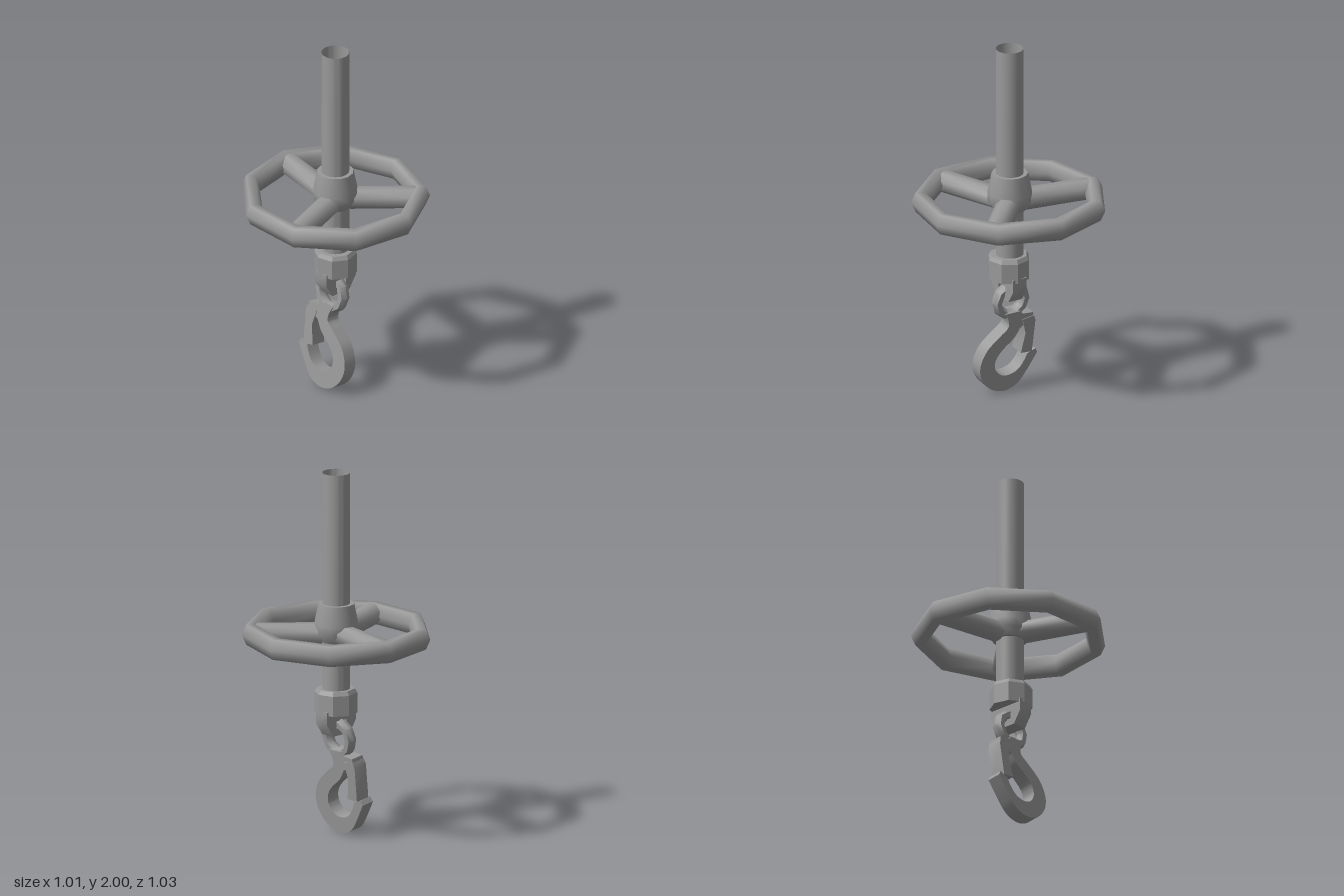
import * as THREE from 'three';
import { toCreasedNormals } from 'three/addons/utils/BufferGeometryUtils.js';

const GREY = 0x999999;
const material = new THREE.MeshStandardMaterial({ color: GREY });
const openMaterial = new THREE.MeshStandardMaterial({ color: GREY, side: THREE.DoubleSide });
const AXIS = { x: 0.01, z: -0.015 };

const v2 = (pts) => pts.map(([x, y]) => new THREE.Vector2(x, y));

function add(parent, name, geometry, crease = 0.6, mat = material) {
  const mesh = new THREE.Mesh(toCreasedNormals(geometry, crease), mat);
  mesh.name = name;
  parent.add(mesh);
  return mesh;
}

// Plate of the given thickness, centred on its own plane
function plate(shape, thickness) {
  return new THREE.ExtrudeGeometry(shape, { depth: thickness, bevelEnabled: false, curveSegments: 6 })
    .translate(0, 0, -thickness / 2);
}

// Level eight-sided bar with flat top and sides, running from a to b
function bar(a, b, width, height) {
  const dir = b.clone().sub(a);
  const g = new THREE.CylinderGeometry(0.5, 0.5, dir.length(), 8, 1, false, Math.PI / 8);
  g.rotateZ(-Math.PI / 2).scale(1, height, width);
  g.rotateY(Math.atan2(-dir.z, dir.x));
  const mid = a.clone().add(b).multiplyScalar(0.5);
  return g.translate(mid.x, mid.y, mid.z);
}

function buildWheel() {
  const wheel = new THREE.Group();
  wheel.name = 'handWheel';

  // Nine-sided rim with a corner facing front
  const rim = new THREE.TorusGeometry(0.468, 0.049, 6, 9);
  rim.rotateZ(Math.PI / 2).rotateX(Math.PI / 2).scale(0.988, 1.3, 1.025);
  add(wheel, 'rim', rim.translate(0.004, 1.115, -0.018), 1.3);

  // Three broad spokes
  for (const [x, z] of [[0.452, 0.077], [-0.303, 0.354], [-0.15, -0.453]]) {
    const end = new THREE.Vector3(x, 1.115, z);
    const start = new THREE.Vector3(AXIS.x + (x - AXIS.x) * 0.17, 1.115, AXIS.z + (z - AXIS.z) * 0.17);
    add(wheel, 'spoke', bar(start, end, 0.132, 0.118), 1);
  }

  // Tapered hub
  const hub = new THREE.LatheGeometry(v2([
    [0.07, 1.075], [0.09, 1.075], [0.118, 1.12], [0.12, 1.17], [0.098, 1.28], [0.07, 1.28],
  ]), 12);
  add(wheel, 'hub', hub.translate(AXIS.x, 0, AXIS.z), 0.8);
  return wheel;
}

function buildHook() {
  const hook = new THREE.Group();
  hook.name = 'hook';

  // Eye ring
  const eye = new THREE.TorusGeometry(0.087, 0.028, 6, 10).scale(1, 1, 1.2);
  add(hook, 'eye', eye.translate(0, 0.54, 0), 0.9);

  // Neck, bowl and upturned tip
  const body = new THREE.Shape();
  body.moveTo(0.05, 0.475);
  body.splineThru(v2([
    [0.03, 0.44], [0.025, 0.39], [0.075, 0.345], [0.15, 0.275], [0.185, 0.185], [0.168, 0.1],
    [0.105, 0.03], [0.02, 0.003], [-0.06, 0.03], [-0.115, 0.1], [-0.172, 0.195],
  ]));
  body.lineTo(-0.158, 0.22);
  body.lineTo(-0.11, 0.2);
  body.splineThru(v2([
    [-0.082, 0.145], [-0.045, 0.108], [0.01, 0.095], [0.06, 0.112], [0.092, 0.16],
    [0.085, 0.215], [0.045, 0.265], [-0.015, 0.315], [-0.05, 0.37],
  ]));
  body.lineTo(-0.13, 0.42);
  body.lineTo(-0.125, 0.45);
  body.lineTo(-0.06, 0.455);
  body.lineTo(-0.045, 0.475);
  add(hook, 'hookBody', plate(body, 0.078), 0.5);

  // Safety latch closing the mouth
  const latch = new THREE.Shape(v2([
    [-0.06, 0.42], [-0.13, 0.43], [-0.142, 0.4], [-0.135, 0.21], [-0.065, 0.215], [-0.085, 0.33],
  ]));
  add(hook, 'latch', plate(latch, 0.086));

  // Slight lean about the eye
  hook.position.set(-0.016, 0.6, 0);
  hook.children.forEach((m) => m.geometry.translate(0, -0.6, 0));
  hook.rotation.x = -0.13;
  return hook;
}

function buildSwivel() {
  const swivel = new THREE.Group();
  swivel.name = 'swivel';

  // Eight-sided collar with a chamfered top
  const collar = new THREE.LatheGeometry(v2([
    [0, 0.68], [0.115, 0.68], [0.115, 0.79], [0.102, 0.812], [0, 0.812],
  ]), 8);
  add(swivel, 'collar', collar.rotateY(-Math.PI / 24), 0.3);

  // Tapered lug with an opening for the eye ring
  const lug = new THREE.Shape(v2([
    [-0.108, 0.7], [-0.108, 0.63], [-0.062, 0.56], [0.062, 0.56], [0.108, 0.63], [0.108, 0.7],
  ]));
  lug.holes.push(new THREE.Path(v2([[-0.036, 0.6], [-0.036, 0.64], [0.036, 0.64], [0.036, 0.6]])));
  add(swivel, 'lug', plate(lug, 0.085).rotateY(Math.PI / 2));

  swivel.add(buildHook());
  swivel.position.set(AXIS.x, 0, AXIS.z + 0.005);
  swivel.rotation.y = -Math.PI / 3;
  return swivel;
}

export function createModel() {
  const model = new THREE.Group();
  model.name = 'hangingHookWithHandWheel';

  // Hollow pole, open at the top
  const pole = new THREE.CylinderGeometry(0.074, 0.074, 1.2, 32, 1, true);
  add(model, 'pole', pole.translate(AXIS.x, 1.4, AXIS.z), 0.6, openMaterial);

  model.add(buildWheel(), buildSwivel());
  return model;
}
